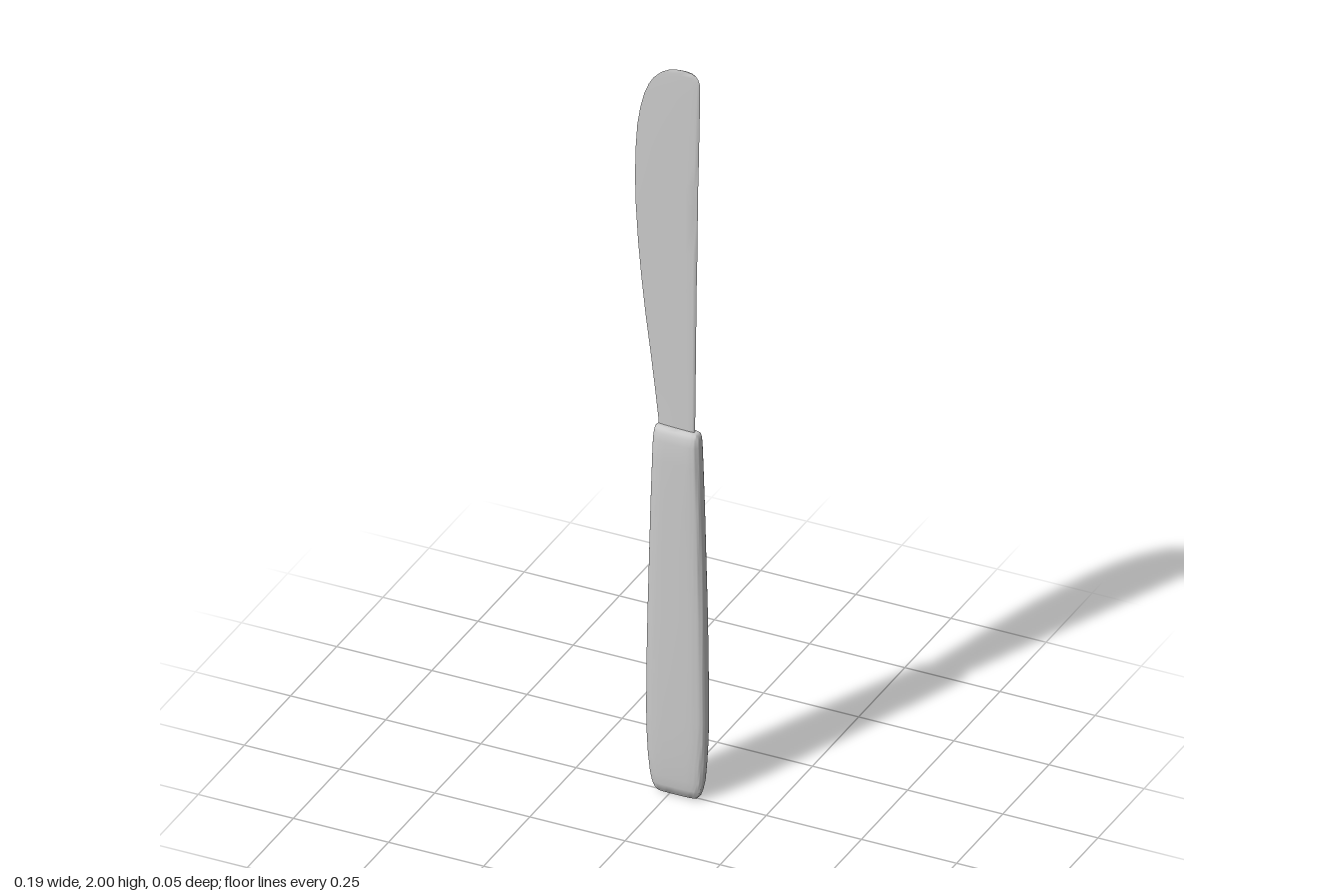
import * as THREE from 'three';
import { toCreasedNormals } from 'three/addons/utils/BufferGeometryUtils.js';

// Lofts a closed section (u across 0..1, w through -1..1) along rows of
// [height, left x, right x, half thickness], closing both ends.
function loft(rows, section, crease) {
  const pos = [], idx = [], n = section.length;
  for (const [y, left, right, half] of rows)
    for (const [u, w] of section) pos.push(left + (right - left) * u, y, w * half);
  for (let r = 0; r < rows.length - 1; r++)
    for (let i = 0; i < n; i++) {
      const a = r * n + i, b = r * n + (i + 1) % n;
      idx.push(a, a + n, b, b, a + n, b + n);
    }
  const last = (rows.length - 1) * n, base = rows.length * n;
  for (const [y, left, right] of [rows[0], rows[rows.length - 1]])
    pos.push((left + right) / 2, y, 0);
  for (let i = 0; i < n; i++) {
    const j = (i + 1) % n;
    idx.push(base, i, j, base + 1, last + j, last + i);
  }
  const geo = new THREE.BufferGeometry();
  geo.setAttribute('position', new THREE.Float32BufferAttribute(pos, 3));
  geo.setIndex(idx);
  return toCreasedNormals(geo, crease);
}

export function createModel() {
  const model = new THREE.Group();
  model.name = 'tableKnife';
  const material = new THREE.MeshStandardMaterial({ color: 0xcccccc });
  const add = (name, geo) => {
    const mesh = new THREE.Mesh(geo, material);
    mesh.name = name;
    model.add(mesh);
  };

  // Handle: rounded, nearly flat-sided section, widest near the butt
  const power = (v, e) => Math.sign(v) * Math.abs(v) ** e;
  const handleSection = [];
  for (let i = 0; i < 48; i++) {
    const a = (i / 48) * Math.PI * 2;
    handleSection.push([0.5 + 0.5 * power(Math.cos(a), 0.5), power(Math.sin(a), 0.5)]);
  }
  const handleRows = [
    [0, -0.025, 0.062, 0.007], [0.003, -0.034, 0.071, 0.012],
    [0.01, -0.041, 0.077, 0.015], [0.025, -0.047, 0.082, 0.018],
    [0.05, -0.052, 0.087, 0.020], [0.1, -0.057, 0.091, 0.022],
    [0.16, -0.060, 0.094, 0.0235], [0.22, -0.061, 0.095, 0.024],
    [0.35, -0.060, 0.094, 0.025], [0.5, -0.057, 0.092, 0.025],
    [0.65, -0.053, 0.088, 0.025], [0.8, -0.049, 0.084, 0.025],
    [0.92, -0.045, 0.080, 0.0245], [0.975, -0.043, 0.078, 0.0235],
    [0.995, -0.041, 0.077, 0.0205], [1.005, -0.039, 0.074, 0.016],
    [1.01, -0.034, 0.069, 0.010],
  ];
  add('handle', loft(handleRows, handleSection, 0.9));

  // Blade: thin wedge, sharp on the bellied side and rounded along the spine
  const bladeSection = [
    [1, 0], [0.985, 0.6], [0.94, 0.9], [0.82, 1], [0.5, 0.75], [0.2, 0.4],
    [0, 0],
    [0.2, -0.4], [0.5, -0.75], [0.82, -1], [0.94, -0.9], [0.985, -0.6],
  ];
  const bladeRows = [
    [0.97, -0.031, 0.063, 0.004], [1.02, -0.033, 0.063, 0.004],
    [1.1, -0.042, 0.064, 0.004], [1.2, -0.054, 0.065, 0.004],
    [1.3, -0.067, 0.066, 0.004], [1.4, -0.078, 0.067, 0.004],
    [1.5, -0.087, 0.069, 0.004], [1.6, -0.093, 0.070, 0.0038],
    [1.68, -0.095, 0.071, 0.0036], [1.76, -0.093, 0.073, 0.0034],
    [1.82, -0.089, 0.074, 0.0032], [1.87, -0.081, 0.075, 0.003],
    [1.91, -0.071, 0.076, 0.0028], [1.94, -0.059, 0.0765, 0.0026],
    [1.96, -0.047, 0.0765, 0.0024], [1.975, -0.033, 0.075, 0.0022],
    [1.985, -0.021, 0.071, 0.002], [1.993, -0.006, 0.065, 0.0017],
    [1.998, 0.01, 0.055, 0.0014], [2, 0.025, 0.043, 0.001],
  ];
  add('blade', loft(bladeRows, bladeSection, 0.9));
  return model;
}
